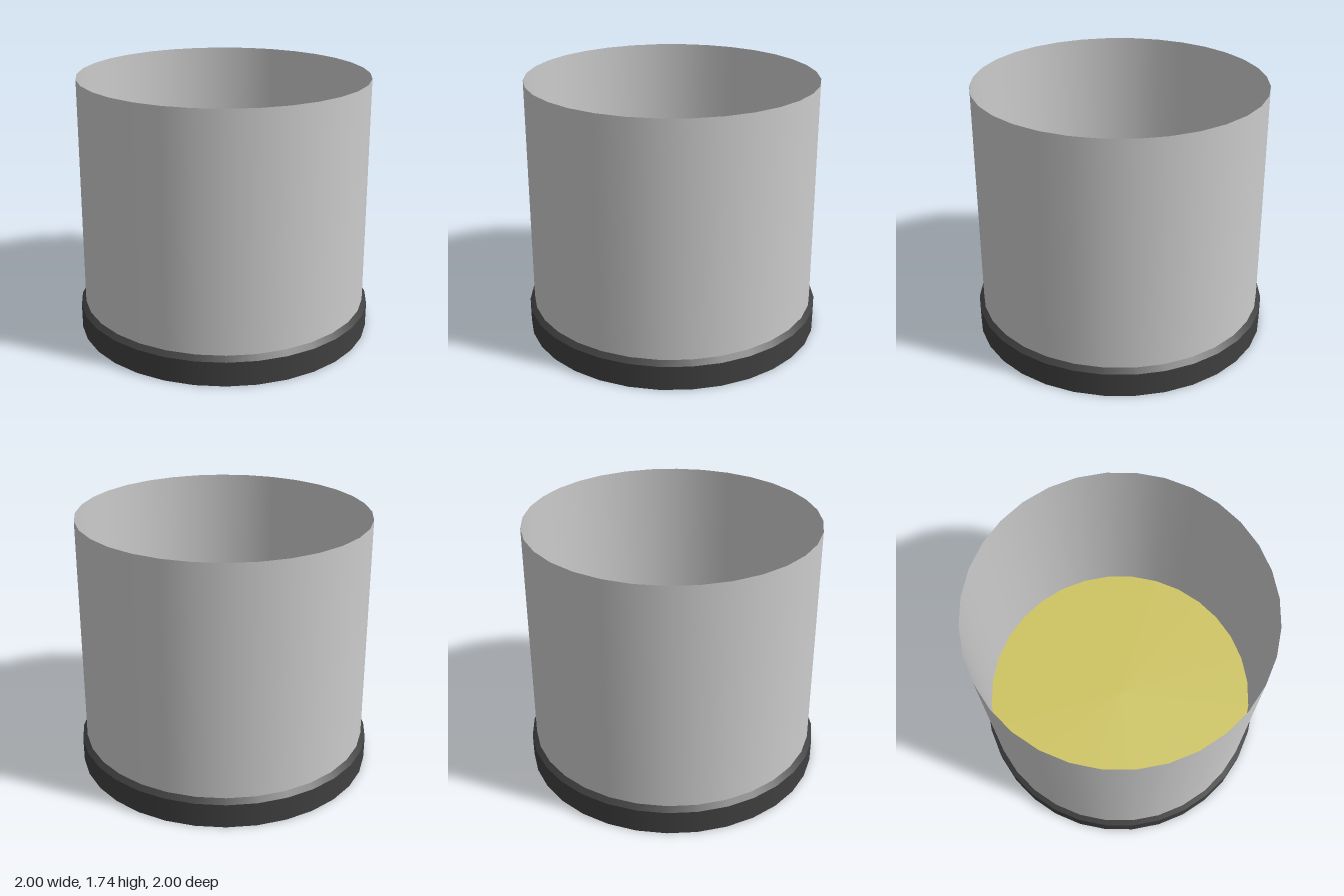
import * as THREE from 'three';

const SIDES = 32;

export function createModel() {
  const group = new THREE.Group();
  const add = (name, geometry, color, y, side = THREE.FrontSide) => {
    const mesh = new THREE.Mesh(geometry, new THREE.MeshStandardMaterial({ color, side }));
    mesh.name = name;
    mesh.position.y = y;
    group.add(mesh);
    return mesh;
  };

  // Dark base: straight band with a bevelled upper rim, closed below
  const band = 0.165, bevel = 0.03;
  add('baseBand', new THREE.CylinderGeometry(1, 1, band, SIDES, 1, true), 0x404040, band / 2);
  add('baseBevel', new THREE.CylinderGeometry(0.968, 1, bevel, SIDES, 1, true), 0x404040, band + bevel / 2);
  const bottom = add('baseBottom', new THREE.CircleGeometry(1, SIDES), 0x404040, 0);
  bottom.rotation.x = Math.PI / 2;

  // Thin, slightly tapered wall, open at the top
  const wallBottom = band + bevel, wallTop = 1.735;
  add('wall', new THREE.CylinderGeometry(0.96, 0.968, wallTop - wallBottom, SIDES, 1, true),
    0xcccccc, (wallTop + wallBottom) / 2, THREE.DoubleSide);

  // Coloured floor inside the wall
  const floor = add('floor', new THREE.CircleGeometry(0.968, SIDES), 0xccc25e, wallBottom);
  floor.rotation.x = -Math.PI / 2;

  return group;
}
